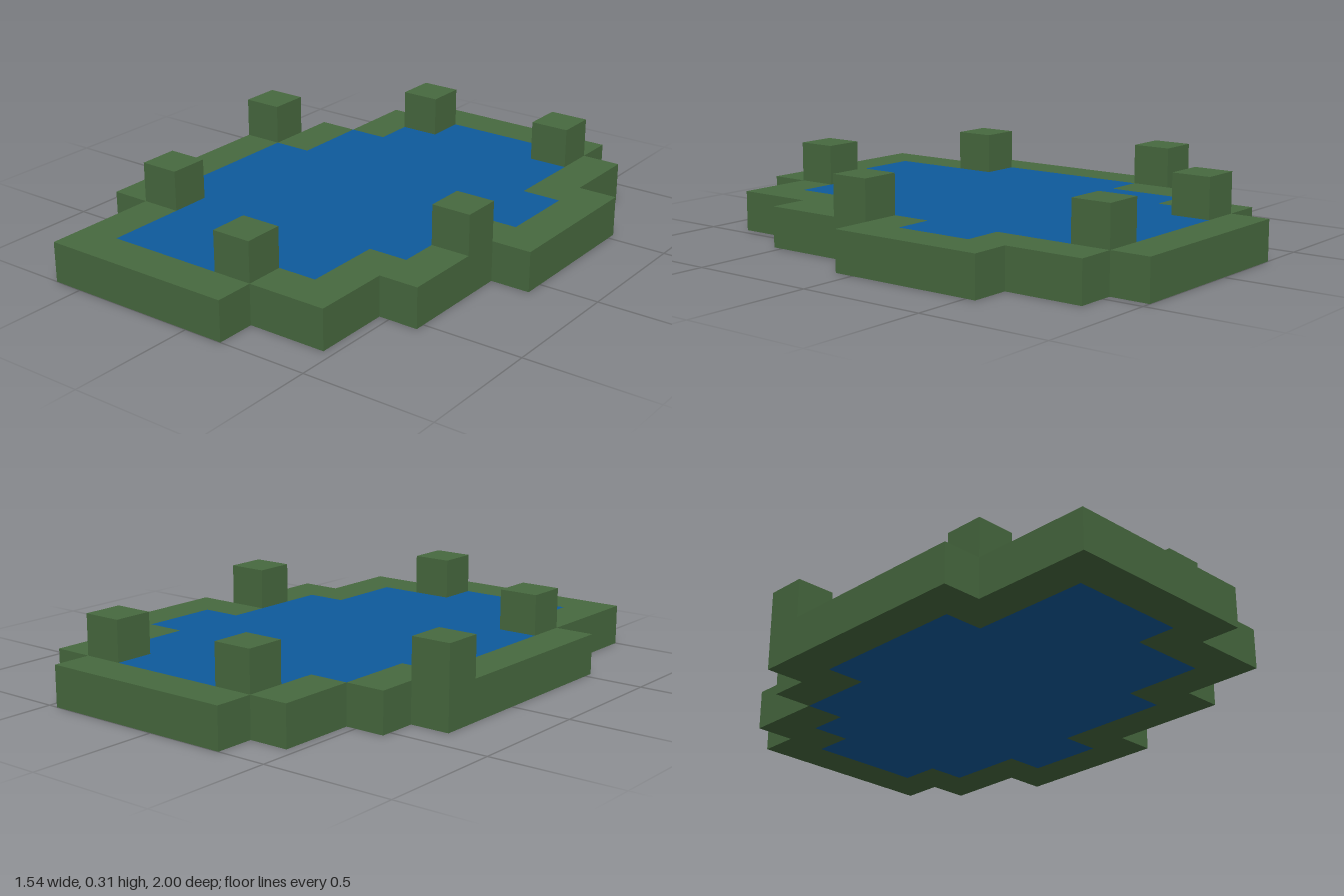
import * as THREE from 'three';

// The pond is laid out on a 10 x 13 grid of square cells, two cells high.
const CELL = 2 / 13;
const COLS = 10;
const ROWS = 13;

// Corners in cells [column, row], row 0 at the back
const bankOutline = [
  [3, 0], [8, 0], [8, 1], [9, 1], [9, 3], [10, 3], [10, 7], [9, 7], [9, 10], [8, 10], [8, 12],
  [6, 12], [6, 13], [1, 13], [1, 10], [0, 10], [0, 4], [1, 4], [1, 3], [2, 3], [2, 1], [3, 1],
];
const waterOutline = [
  [4, 1], [7, 1], [7, 2], [8, 2], [8, 4], [9, 4], [9, 6], [8, 6], [8, 9], [7, 9], [7, 11],
  [5, 11], [5, 12], [2, 12], [2, 9], [1, 9], [1, 5], [2, 5], [2, 3], [3, 3], [3, 2], [4, 2],
];
const postCells = [[3, 1], [7, 1], [0, 4], [8, 7], [1, 9], [5, 11]];

const toX = (col) => (col - COLS / 2) * CELL;
const toZ = (row) => (row - ROWS / 2) * CELL;

// zSign is -1 for shapes laid face up, 1 for shapes laid face down
const toPoints = (cells, zSign) =>
  cells.map(([c, r]) => new THREE.Vector2(toX(c), zSign * toZ(r)));

export function createModel() {
  const green = new THREE.MeshStandardMaterial({ color: 0x47693f });
  green.name = 'mossGreen';
  const blue = new THREE.MeshStandardMaterial({ color: 0x0e5a9c });
  blue.name = 'waterBlue';

  const model = new THREE.Group();
  model.name = 'pond';
  const add = (name, geometry, material) => {
    const mesh = new THREE.Mesh(geometry, material);
    mesh.name = name;
    model.add(mesh);
    return mesh;
  };

  // Stepped bank around the water
  const bankShape = new THREE.Shape(toPoints(bankOutline, -1));
  bankShape.holes.push(new THREE.Path(toPoints(waterOutline, -1)));
  const bank = new THREE.ExtrudeGeometry(bankShape, { depth: CELL, bevelEnabled: false });
  add('bank', bank.rotateX(-Math.PI / 2), green);

  // Water surface flush with the bank's top, and pond floor flush with its underside
  const surface = new THREE.ShapeGeometry(new THREE.Shape(toPoints(waterOutline, -1)));
  add('waterSurface', surface.rotateX(-Math.PI / 2), blue).position.y = CELL;
  const floor = new THREE.ShapeGeometry(new THREE.Shape(toPoints(waterOutline, 1)));
  add('pondFloor', floor.rotateX(Math.PI / 2), blue);

  // Cube posts standing on the bank
  const cube = new THREE.BoxGeometry(CELL, CELL, CELL);
  postCells.forEach(([c, r], i) => {
    add(`post${i + 1}`, cube, green).position.set(toX(c + 0.5), CELL * 1.5, toZ(r + 0.5));
  });

  return model;
}
